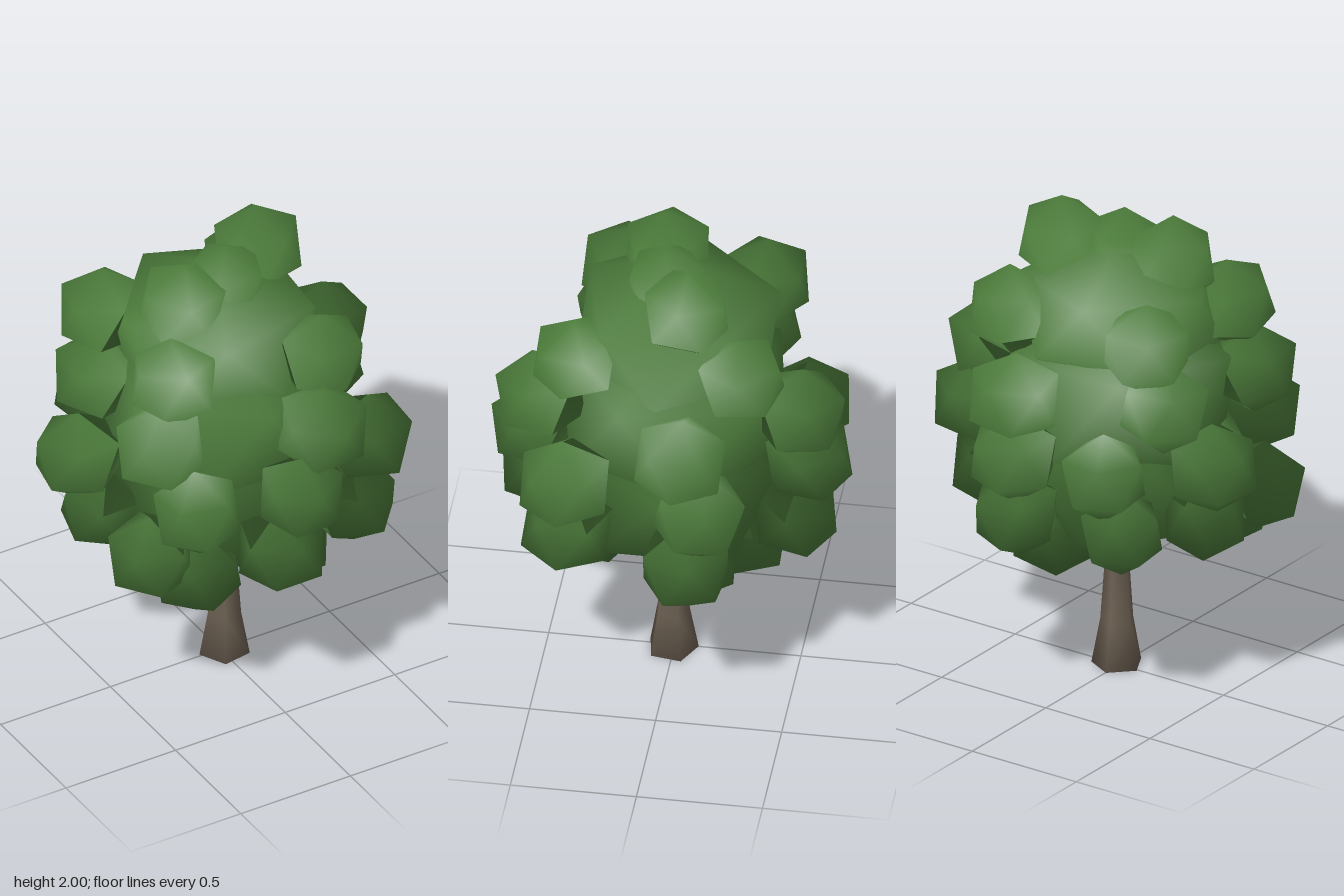
import * as THREE from 'three';

export function createModel() {
  const tree = new THREE.Group();
  tree.name = 'tree';

  const leafGreen = new THREE.MeshStandardMaterial({ color: 0x4b7a3a });
  leafGreen.name = 'leafGreen';
  const barkBrown = new THREE.MeshStandardMaterial({ color: 0x6b5f51 });
  barkBrown.name = 'barkBrown';

  // Five-sided flared trunk, running up into the crown
  const profile = [[0, 0], [0.104, 0], [0.069, 0.19], [0.054, 0.4], [0.05, 0.6], [0.035, 1.1], [0, 1.1]];
  const trunk = new THREE.Mesh(
    new THREE.LatheGeometry(profile.map(([r, y]) => new THREE.Vector2(r, y)), 5, Math.PI / 4),
    barkBrown
  );
  trunk.name = 'trunk';
  trunk.position.set(0.014, 0, 0.008);
  tree.add(trunk);

  // Twenty-sided leaf ball standing on a corner
  const ball = new THREE.IcosahedronGeometry(1, 0).rotateZ(-Math.atan(2 / (1 + Math.sqrt(5))));
  const crown = new THREE.Group();
  crown.name = 'crown';
  tree.add(crown);
  const crownCentre = new THREE.Vector3(0, 1.1, 0);

  // Places a ball; its normals lean away from the crown centre so the foliage shades as one mass
  function addClump(name, x, y, z, r, height = 1) {
    const i = crown.children.length;
    const lean = height === 1 ? 0.08 : 0;
    const turn = new THREE.Euler(lean * Math.sin(i * 2.1), i * 0.9, lean * Math.cos(i * 1.7));
    const centre = new THREE.Vector3(x, y, z);
    const geometry = ball.clone().applyMatrix4(new THREE.Matrix4().compose(
      centre,
      new THREE.Quaternion().setFromEuler(turn),
      new THREE.Vector3(r, r * height, r)
    ));
    const { position, normal } = geometry.attributes;
    for (let k = 0; k < position.count; k++) {
      const point = new THREE.Vector3().fromBufferAttribute(position, k);
      const own = point.clone().sub(centre).normalize();
      const n = point.sub(crownCentre).normalize().addScaledVector(own, 0.4).normalize();
      normal.setXYZ(k, n.x, n.y, n.z);
    }
    const clump = new THREE.Mesh(geometry, leafGreen);
    clump.name = name;
    crown.add(clump);
  }

  // Inner mass of the crown: three stacked tiers
  addClump('lowerCore', 0, 0.85, 0, 0.5, 0.68);
  addClump('middleCore', -0.01, 1.22, 0, 0.51, 0.78);
  addClump('upperCore', -0.02, 1.56, -0.01, 0.45, 0.68);

  // Rings of outer clumps: name, then [x, y, z, radius] of each
  const rings = {
    undersideClump: [[-0.28, 0.67, 0.29, 0.2], [0.12, 0.67, 0.3, 0.19], [0.3, 0.67, -0.12, 0.19], [0.1, 0.67, -0.29, 0.2]],
    lowClump: [[-0.48, 0.8, 0.28, 0.188], [-0.03, 0.81, 0.52, 0.192], [0.38, 0.82, 0.37, 0.197], [0.5, 0.78, -0.12, 0.197],
      [0.14, 0.81, -0.5, 0.19], [-0.3, 0.8, -0.41, 0.18], [-0.48, 0.8, -0.1, 0.18]],
    middleClump: [[-0.36, 1.05, 0.43, 0.188], [0.045, 1.06, 0.55, 0.185], [0.45, 1.09, 0.37, 0.2], [0.55, 1.07, -0.18, 0.197],
      [0.12, 1.07, -0.55, 0.192], [-0.27, 1.06, -0.49, 0.185], [-0.56, 1.05, -0.15, 0.19]],
    highClump: [[-0.44, 1.3, 0.28, 0.195], [0.17, 1.31, 0.5, 0.197], [0.53, 1.31, -0.1, 0.197], [0.14, 1.31, -0.52, 0.197],
      [-0.4, 1.31, -0.26, 0.195]],
    shoulderClump: [[-0.36, 1.57, 0.25, 0.19], [0.25, 1.555, 0.36, 0.185], [0.3, 1.57, -0.31, 0.188], [-0.35, 1.57, -0.31, 0.192]],
    topClump: [[-0.21, 1.775, 0.06, 0.19], [0.01, 1.785, 0.03, 0.175], [0.22, 1.812, -0.08, 0.19]],
  };
  for (const [name, clumps] of Object.entries(rings)) {
    for (const clump of clumps) addClump(name, ...clump);
  }

  return tree;
}
